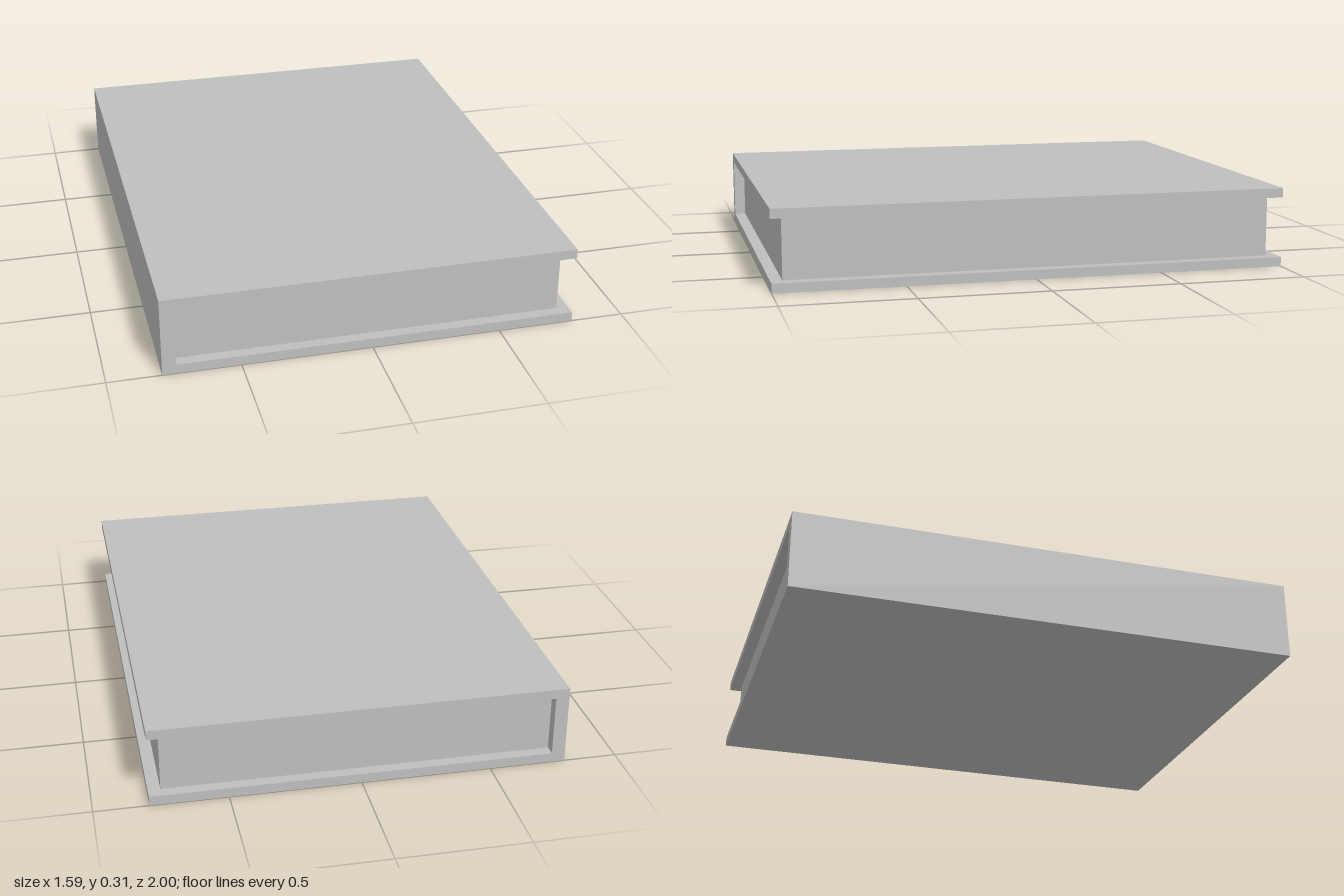
import * as THREE from 'three';

const W = 0.795, H = 0.312, D = 1; // half width, height, half depth
const BOARD = 0.037, SPINE = 0.052; // cover and spine thickness

export function createModel() {
  const book = new THREE.Group();
  book.name = 'book';
  const grey = new THREE.MeshStandardMaterial({ color: 0xbfbfbf });
  grey.name = 'plain grey';

  // Hard case: a C-shaped section of spine and two boards, open at +x
  const section = new THREE.Shape([
    [-W, 0], [W, 0], [W, BOARD], [-W + SPINE, BOARD],
    [-W + SPINE, H - BOARD], [W, H - BOARD], [W, H], [-W, H],
  ].map(([x, y]) => new THREE.Vector2(x, y)));
  const caseGeometry = new THREE.ExtrudeGeometry(section, { depth: 2 * D, bevelEnabled: false });
  caseGeometry.translate(0, 0, -D);
  const cover = new THREE.Mesh(caseGeometry, grey);
  cover.name = 'cover';

  // Page block, set back from the three open edges
  const left = -W + SPINE, right = 0.748;
  const pages = new THREE.Mesh(
    new THREE.BoxGeometry(right - left, H - 2 * BOARD, 2 * 0.955), grey);
  pages.position.set((left + right) / 2, H / 2, 0);
  pages.name = 'pages';

  book.add(cover, pages);
  return book;
}
